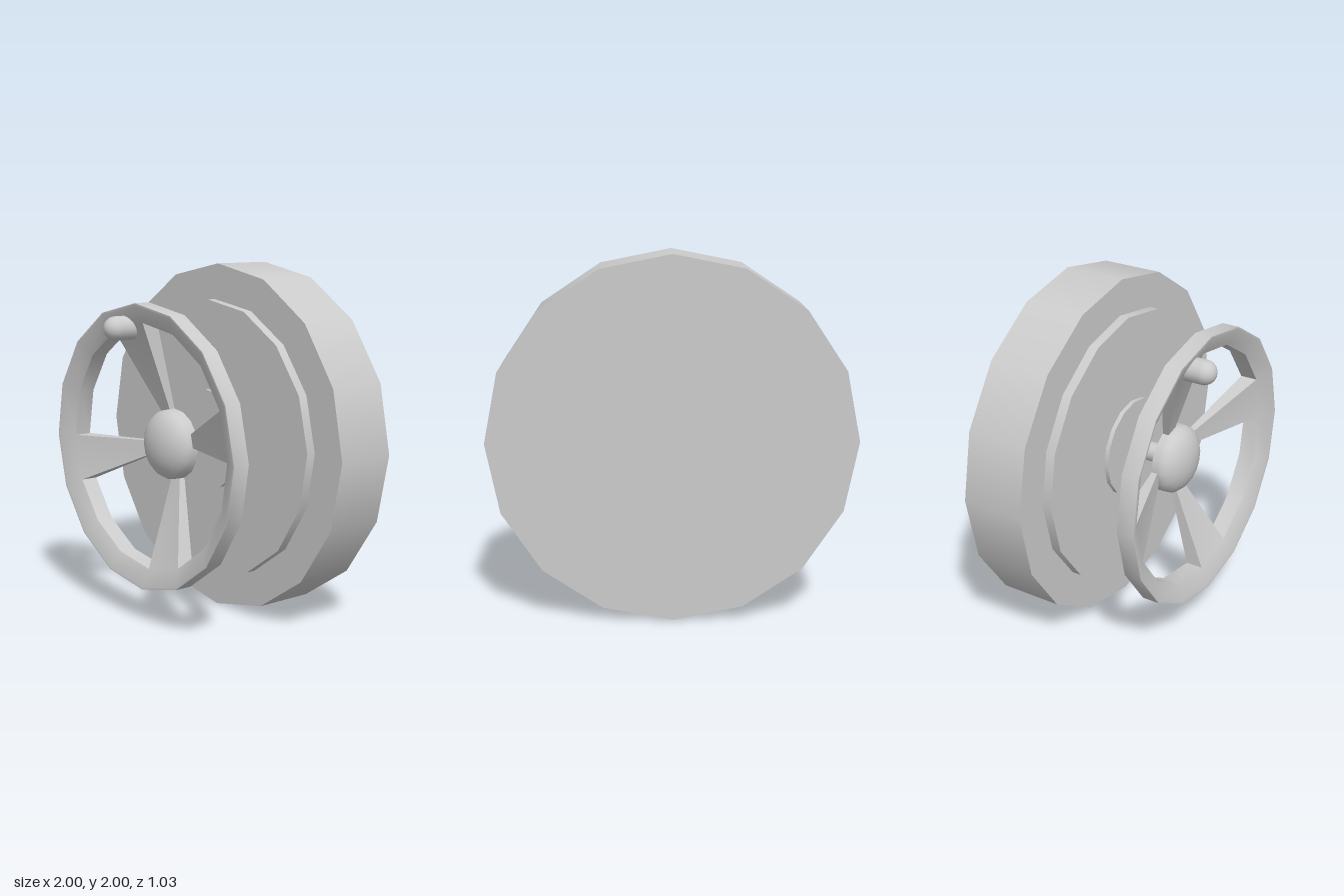
import * as THREE from 'three';
import { toCreasedNormals } from 'three/addons/utils/BufferGeometryUtils.js';

const SIDES = 16;
const TURN = 0.03; // slight twist of the turning parts
const grey = new THREE.MeshStandardMaterial({ color: 0xcccccc });

function add(parent, name, geometry) {
  const mesh = new THREE.Mesh(geometry, grey);
  mesh.name = name;
  parent.add(mesh);
  return mesh;
}

// Cylinder lying along z between two depths
function disc(radius, z0, z1, turn = 0) {
  return new THREE.CylinderGeometry(radius, radius, z1 - z0, SIDES)
    .rotateX(Math.PI / 2).rotateZ(turn).translate(0, 0, (z0 + z1) / 2);
}

// Half ellipsoid bulging towards the front
function dome(radius, depth, z) {
  return new THREE.SphereGeometry(radius, SIDES, 8, 0, Math.PI * 2, 0, Math.PI / 2)
    .rotateX(Math.PI / 2).rotateZ(TURN).scale(1, 1, depth / radius).translate(0, 0, z);
}

// Dished wheel: rim all the way round, one spoke in every four segments
function wheelGeometry() {
  const hubBack = [0.195, 0.15], hubFront = [0.195, 0.185];
  const rimBack = [0.69, 0.26], rimFront = [0.69, 0.36];
  const rim = [rimBack, [0.8, 0.31], [0.8, 0.41], [0.787, 0.41], rimFront];
  const positions = [];
  const point = (i, [r, z]) => {
    const a = TURN + ((i % SIDES) / SIDES) * Math.PI * 2;
    return [r * Math.cos(a), r * Math.sin(a), z];
  };
  const quad = (a, b, c, d) => positions.push(...a, ...b, ...c, ...a, ...c, ...d);
  const strip = (i, p, q) => quad(point(i, p), point(i + 1, p), point(i + 1, q), point(i, q));

  for (let i = 0; i < SIDES; i++) {
    for (let k = 0; k < rim.length - 1; k++) strip(i, rim[k], rim[k + 1]);
    if (i % 4 === 0) {
      // spoke: back, front and both side walls
      const side = [hubBack, rimBack, rimFront, hubFront];
      strip(i, hubBack, rimBack);
      strip(i, rimFront, hubFront);
      quad(...side.map((p) => point(i, p)));
      quad(...side.reverse().map((p) => point(i + 1, p)));
    } else {
      strip(i, rimFront, rimBack); // outer wall of the opening
    }
  }
  const geometry = new THREE.BufferGeometry();
  geometry.setAttribute('position', new THREE.Float32BufferAttribute(positions, 3));
  return toCreasedNormals(geometry, 0.5);
}

export function createModel() {
  const model = new THREE.Group();
  model.name = 'handwheelOnBase';

  // Fixed stack behind the wheel
  const base = new THREE.Group();
  base.name = 'base';
  add(base, 'baseDisc', disc(1, -0.52, -0.16));
  add(base, 'facePlate', disc(0.798, -0.17, -0.105, TURN));
  add(base, 'hubPlate', disc(0.288, -0.11, -0.08, TURN));
  add(base, 'shaft', disc(0.056, -0.09, 0.16));

  // Turning wheel with its hub and handle
  const wheel = new THREE.Group();
  wheel.name = 'handwheel';
  add(wheel, 'rimAndSpokes', wheelGeometry());
  add(wheel, 'hubCollar', disc(0.2, 0.15, 0.185, TURN));
  add(wheel, 'hubDome', dome(0.2, 0.115, 0.185));

  const knob = new THREE.Group();
  knob.name = 'knob';
  add(knob, 'knobStem', disc(0.068, 0.3, 0.445));
  add(knob, 'knobTip', dome(0.068, 0.068, 0.445));
  knob.position.set(-0.155, 0.655, 0);
  wheel.add(knob);

  model.add(base, wheel);
  for (const part of model.children) part.position.y = 1;
  return model;
}
